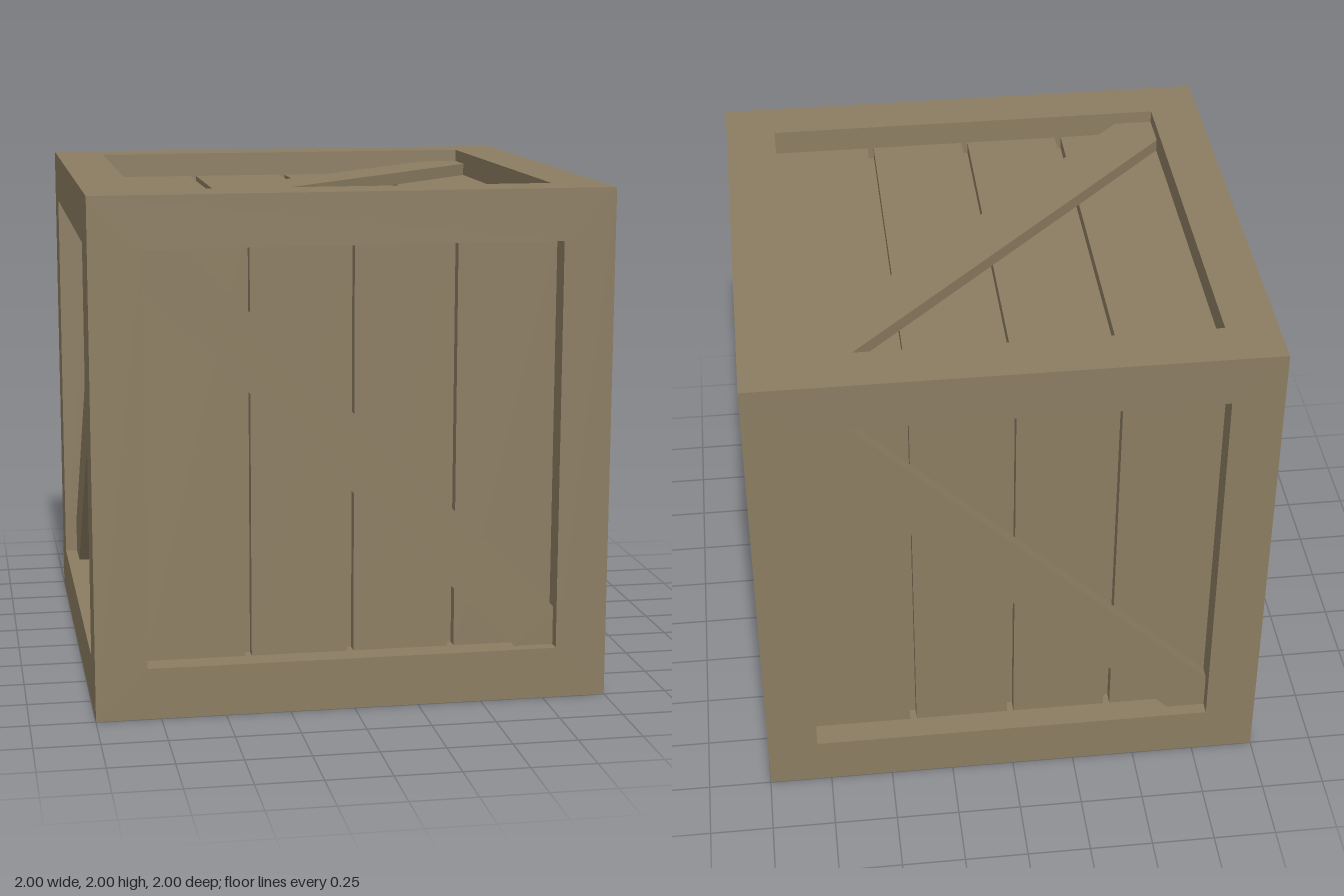
import * as THREE from 'three';

const INNER = 0.8;     // half width of the recessed panel
const PANEL = 0.9;     // distance of plank surface from the centre
const FLOOR = 0.85;    // distance of groove floor from the centre
const GROOVE = 0.026;

const wood = new THREE.MeshStandardMaterial({ color: 0x8c7d62, flatShading: true });

function part(name, geometry) {
  const mesh = new THREE.Mesh(geometry, wood);
  mesh.name = name;
  return mesh;
}

// Square border with the walls of its recess: a four-sided lathe turned to face +z
function frameGeometry() {
  const r = Math.SQRT2;
  const profile = [[r, 1], [INNER * r, 1], [INNER * r, FLOOR]].map(([x, y]) => new THREE.Vector2(x, y));
  const g = new THREE.LatheGeometry(profile, 4, Math.PI / 4).rotateX(Math.PI / 2).toNonIndexed();
  g.computeVertexNormals();
  return g;
}

// Diagonal board cut to fit the corners; side = 1 rises to the right, -1 to the left
function braceGeometry(side, offset) {
  const a = INNER, up = 0.154 + offset, low = 0.154 - offset;
  const points = [[-a, -a], [-a + low, -a], [a, a - low], [a, a], [a - up, a], [-a, -a + up]];
  const shape = new THREE.Shape(points.map(([x, y]) => new THREE.Vector2(x * side, y)));
  return new THREE.ExtrudeGeometry(shape, { depth: 0.05, bevelEnabled: false }).translate(0, 0, PANEL);
}

const frame = frameGeometry();

function crateSide(name, rx, ry, side, offset = 0) {
  const group = new THREE.Group();
  group.name = name;
  group.add(part('frame', frame));

  // Four planks separated by narrow grooves
  const edges = [-INNER, -0.4, 0, 0.4, INNER];
  for (let i = 0; i < 4; i++) {
    const x0 = edges[i] + (i > 0 ? GROOVE / 2 : 0);
    const x1 = edges[i + 1] - (i < 3 ? GROOVE / 2 : 0);
    const plank = part('plank', new THREE.BoxGeometry(x1 - x0, INNER * 2, PANEL - FLOOR));
    plank.position.set((x0 + x1) / 2, 0, (PANEL + FLOOR) / 2);
    group.add(plank);
  }

  group.add(part('brace', braceGeometry(side, offset)));
  group.rotation.set(rx, ry, 0);
  group.position.y = 1;
  return group;
}

export function createModel() {
  const crate = new THREE.Group();
  crate.name = 'crate';
  const q = Math.PI / 2;

  // Solid core showing at the bottom of the grooves
  const core = part('core', new THREE.BoxGeometry(FLOOR * 2, FLOOR * 2, FLOOR * 2));
  core.position.y = 1;
  crate.add(core);

  crate.add(
    crateSide('frontSide', 0, 0, -1),
    crateSide('backSide', 0, Math.PI, -1),
    crateSide('leftSide', 0, q, 1, -0.0125),
    crateSide('rightSide', 0, -q, 1, -0.0125),
    crateSide('topSide', -q, 0, 1),
    crateSide('bottomSide', q, 0, 1),
  );
  return crate;
}
